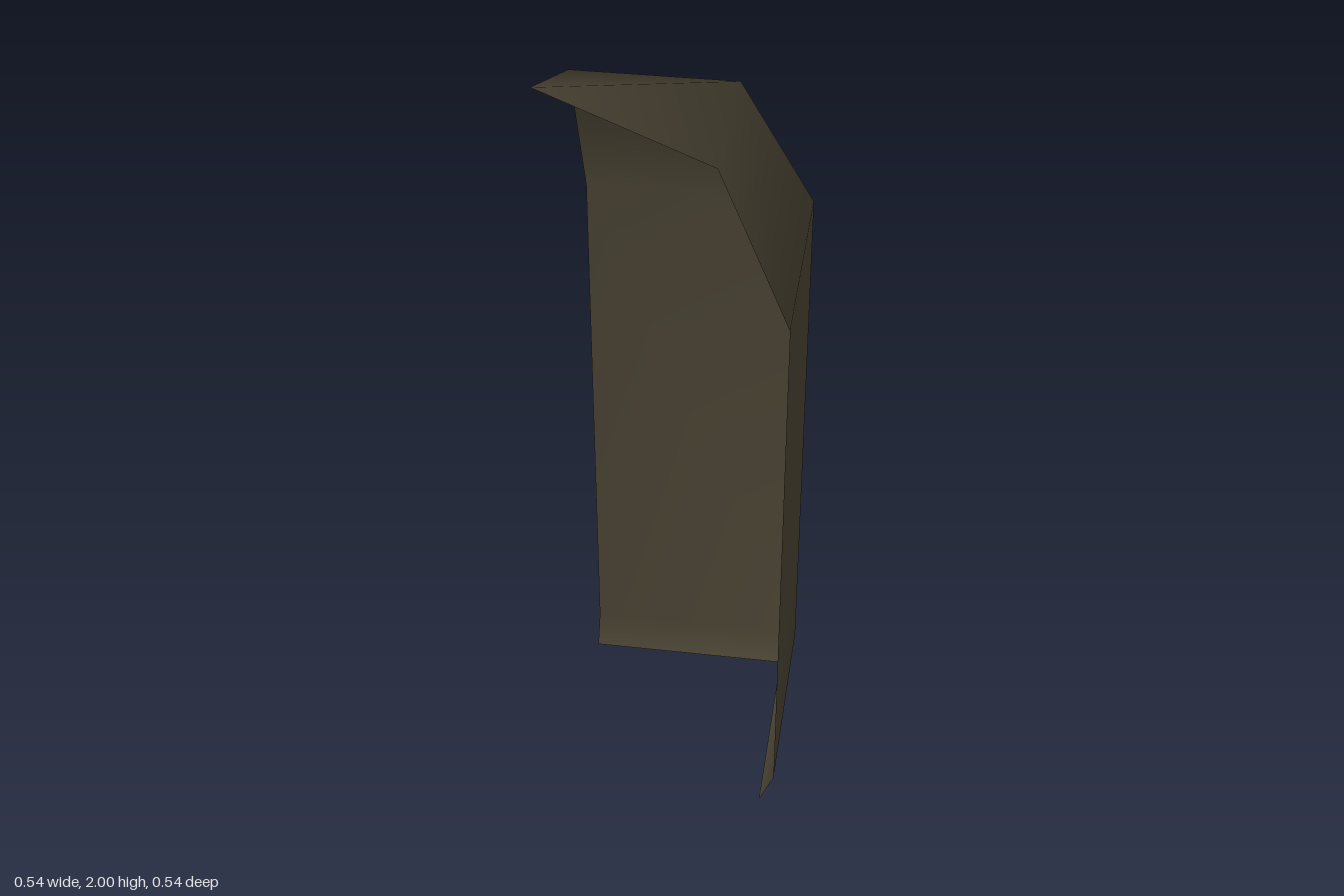
import * as THREE from 'three';
import { mergeVertices } from 'three/addons/utils/BufferGeometryUtils.js';

const HALF = 0.272;

// Shell profile: [distance of the wall from the centre, height]
const PROFILE = [[0.237, 0], [HALF, 0.08], [HALF, 1.457], [0.112, 1.843], [-HALF, 2]];

// Two walls meeting at a mitred corner, both following the profile up to one peak
function cornerShell() {
  const positions = [];
  const index = [];
  PROFILE.forEach(([d, y], level) => {
    positions.push(-HALF, y, -d, d, y, -d, d, y, HALF);
    if (level === PROFILE.length - 1) return;
    for (let arm = 0; arm < 2; arm++) {
      const a = level * 3 + arm;
      const b = a + 1;
      index.push(a, a + 3, b);
      if (level < PROFILE.length - 2) index.push(b, a + 3, b + 3);
      else index.push(b, a + 3, b + 3); // collapses at the peak
    }
  });
  const geometry = new THREE.BufferGeometry();
  geometry.setAttribute('position', new THREE.Float32BufferAttribute(positions, 3));
  geometry.setIndex(index);
  // share the peak and smooth across the whole shell
  const merged = mergeVertices(geometry, 1e-4);
  merged.computeVertexNormals();
  return merged;
}

export function createModel() {
  const model = new THREE.Group();
  model.name = 'cornerPanel';
  const darkOlive = new THREE.MeshStandardMaterial({ color: 0x474131, side: THREE.DoubleSide });
  darkOlive.name = 'dark olive';
  const shell = new THREE.Mesh(cornerShell(), darkOlive);
  shell.name = 'curvedCornerShell';
  model.add(shell);
  return model;
}
